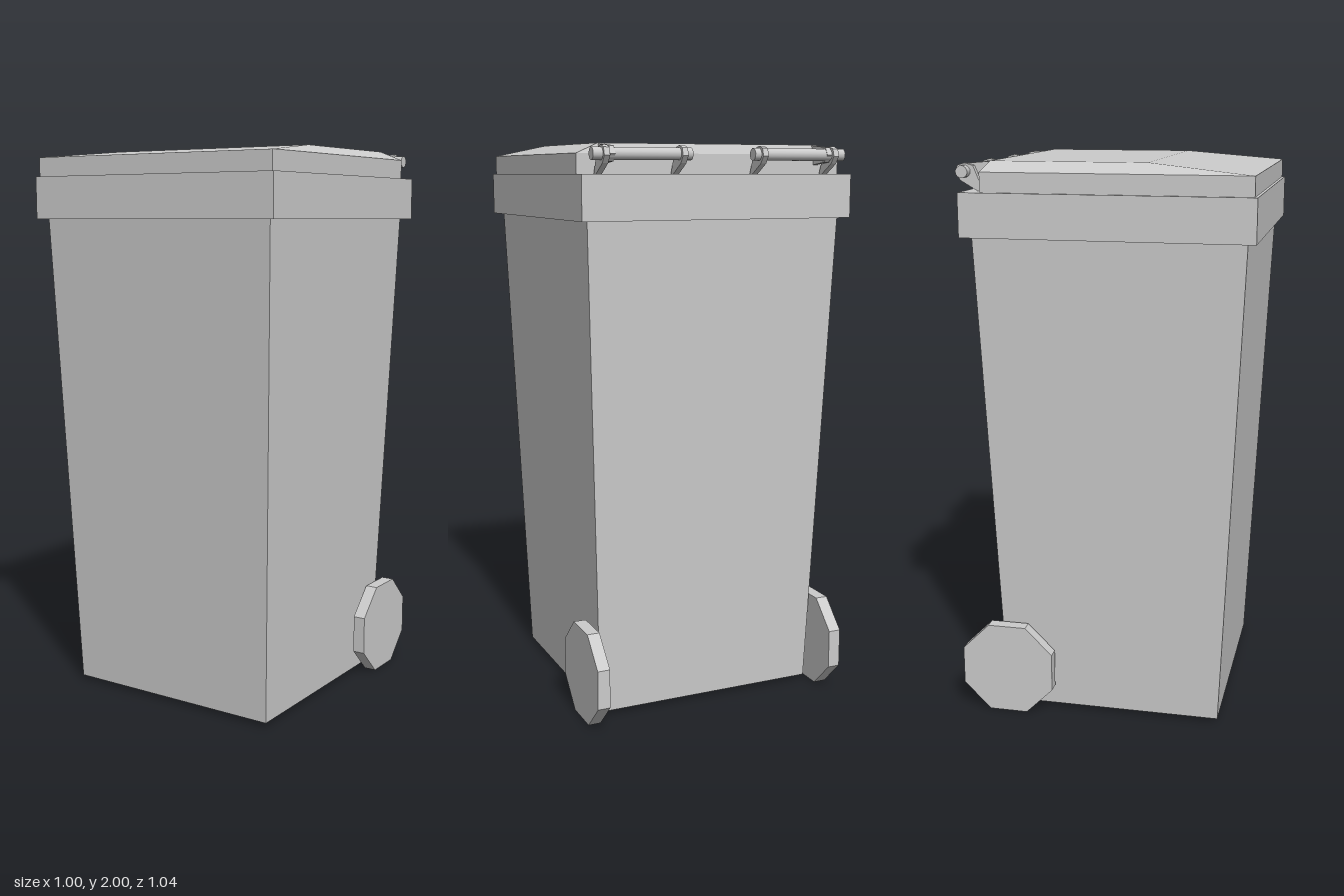
import * as THREE from 'three';

const material = new THREE.MeshStandardMaterial({ color: 0xcccccc });
const flatMaterial = new THREE.MeshStandardMaterial({ color: 0xcccccc, flatShading: true });

// Box-like solid between two rectangles, each given as [y, halfWidth, zBack, zFront]
function taperedBox(name, bottom, top) {
  const geometry = new THREE.BoxGeometry(2, 2, 2);
  const p = geometry.attributes.position;
  for (let i = 0; i < p.count; i++) {
    const [y, half, back, front] = p.getY(i) < 0 ? bottom : top;
    p.setXYZ(i, p.getX(i) * half, y, p.getZ(i) < 0 ? back : front);
  }
  geometry.computeVertexNormals();
  const mesh = new THREE.Mesh(geometry, material);
  mesh.name = name;
  return mesh;
}

// Cylinder lying along x
function rod(name, radius, length, sides, x, y, z, mat) {
  const geometry = new THREE.CylinderGeometry(radius, radius, length, sides);
  geometry.rotateY(Math.PI / sides).rotateZ(Math.PI / 2);
  const mesh = new THREE.Mesh(geometry, mat);
  mesh.name = name;
  mesh.position.set(x, y, z);
  return mesh;
}

// Plate with a side profile of [z, y] points, centred on x
function plate(name, points, thickness, x) {
  const shape = new THREE.Shape(points.map(([z, y]) => new THREE.Vector2(-z, y)));
  const geometry = new THREE.ExtrudeGeometry(shape, { depth: thickness, bevelEnabled: false });
  geometry.translate(0, 0, -thickness / 2).rotateY(Math.PI / 2);
  const mesh = new THREE.Mesh(geometry, flatMaterial);
  mesh.name = name;
  mesh.position.x = x;
  return mesh;
}

export function createModel() {
  const model = new THREE.Group();
  model.name = 'wheeledBin';

  // Tapered container and overhanging rim
  model.add(taperedBox('body', [0.015, 0.415, -0.37, 0.42], [1.76, 0.47, -0.44, 0.495]));
  model.add(taperedBox('rim', [1.75, 0.5, -0.475, 0.525], [1.9, 0.5, -0.475, 0.525]));

  // Lid: straight skirt with a shallow raised top
  const lid = new THREE.Group();
  lid.name = 'lid';
  lid.add(taperedBox('lidSkirt', [1.9, 0.49, -0.4, 0.515], [1.967, 0.49, -0.4, 0.515]));
  lid.add(taperedBox('lidTop', [1.967, 0.49, -0.4, 0.515], [2.0, 0.41, -0.385, 0.155]));
  model.add(lid);

  // Hinge tab rising from the rim, and lid arm reaching back to the rod
  const tab = [[-0.405, 1.9], [-0.44, 1.985], [-0.47, 1.993], [-0.495, 1.985],
    [-0.503, 1.96], [-0.485, 1.935], [-0.425, 1.9]];
  const arm = [[-0.385, 1.93], [-0.385, 1.998], [-0.48, 1.99], [-0.495, 1.965], [-0.475, 1.94]];

  for (const side of [-1, 1]) {
    const hinge = new THREE.Group();
    hinge.name = side > 0 ? 'leftHinge' : 'rightHinge';
    hinge.add(rod('hingeRod', 0.021, 0.35, 12, side * 0.29, 1.965, -0.47, material));
    for (const x of [0.148, 0.422]) hinge.add(plate('hingeTab', tab, 0.02, side * x));
    hinge.add(plate('lidArm', arm, 0.018, side * 0.4));
    model.add(hinge);

    // Octagonal wheel resting on a flat
    const radius = 0.168 / Math.cos(Math.PI / 8);
    model.add(rod(side > 0 ? 'leftWheel' : 'rightWheel', radius, 0.045, 8,
      side * 0.458, 0.168, -0.352, flatMaterial));
  }
  return model;
}
